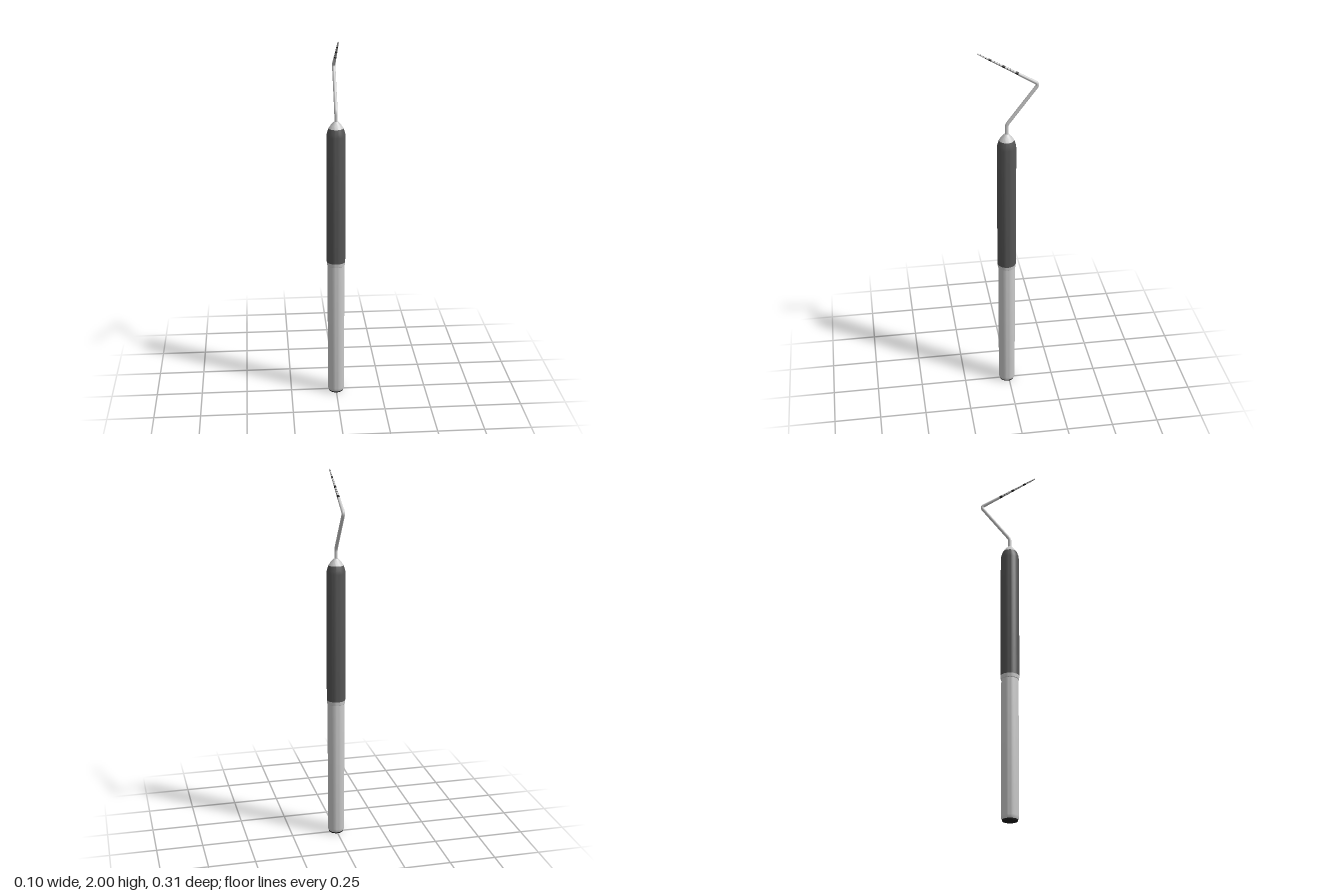
import * as THREE from 'three';
import { toCreasedNormals } from 'three/addons/utils/BufferGeometryUtils.js';

const steel = new THREE.MeshStandardMaterial({ color: 0xcccccc });
const rubber = new THREE.MeshStandardMaterial({ color: 0x555555 });
const black = new THREE.MeshStandardMaterial({ color: 0x1c1c1c });

const AXIS_Z = 0.01; // the handle sits slightly forward of centre
const v = (y, z) => new THREE.Vector3(0, y, z);

function add(parent, name, geometry, material) {
  const mesh = new THREE.Mesh(geometry, material);
  mesh.name = name;
  parent.add(mesh);
  return mesh;
}

// Turned part from [radius, y] points listed bottom to top
function turned(parent, name, profile, material) {
  const points = profile.map(([r, y]) => new THREE.Vector2(r, y));
  const geometry = toCreasedNormals(new THREE.LatheGeometry(points, 40), 0.35);
  return add(parent, name, geometry, material);
}

export function createModel() {
  const model = new THREE.Group();
  model.name = 'periodontalProbe';

  // Handle
  const handle = new THREE.Group();
  handle.name = 'handle';
  handle.position.z = AXIS_Z;
  model.add(handle);
  turned(handle, 'endCap', [[0, 0], [0.039, 0], [0.041, 0.007]], black);
  turned(handle, 'shaft', [[0.041, 0.007], [0.044, 0.014], [0.0455, 0.025], [0.0455, 0.77]], steel);
  turned(handle, 'gripCollar', [[0.0455, 0.758], [0.048, 0.76], [0.05, 0.78]], steel);
  turned(handle, 'grip', [[0.05, 0.78], [0.05, 1.48], [0.0475, 1.497], [0.039, 1.522]], rubber);
  turned(handle, 'nose', [[0.039, 1.522], [0.029, 1.538], [0.015, 1.553], [0.012, 1.557], [0, 1.558]], steel);

  // Bent neck: straight stub, backward slant, then a sharp elbow toward the front
  const base = v(1.54, AXIS_Z), lower = v(1.607, AXIS_Z), elbow = v(1.821, -0.1525), tip = v(1.997, 0.152);
  const toward = (a, b, d) => a.clone().add(b.clone().sub(a).setLength(d));
  const lowIn = toward(lower, base, 0.015), lowOut = toward(lower, elbow, 0.015);
  const elbowIn = toward(elbow, lower, 0.02), elbowOut = toward(elbow, tip, 0.02);
  const path = new THREE.CurvePath();
  path.add(new THREE.LineCurve3(base, lowIn));
  path.add(new THREE.QuadraticBezierCurve3(lowIn, lower, lowOut));
  path.add(new THREE.LineCurve3(lowOut, elbowIn));
  path.add(new THREE.QuadraticBezierCurve3(elbowIn, elbow, elbowOut));
  add(model, 'neck', new THREE.TubeGeometry(path, 120, 0.009, 16), steel);

  // Tapered working end, laid along its own y axis from the elbow to the tip
  const probe = new THREE.Group();
  probe.name = 'workingEnd';
  const direction = tip.clone().sub(elbowOut);
  const length = direction.length();
  probe.position.copy(elbowOut);
  probe.quaternion.setFromUnitVectors(new THREE.Vector3(0, 1, 0), direction.clone().normalize());
  model.add(probe);
  const radiusAt = (s) => 0.009 + (0.0035 - 0.009) * (s / length);
  const section = (name, from, to, material) => {
    const geometry = new THREE.CylinderGeometry(radiusAt(to), radiusAt(from), to - from, 16, 1, true);
    add(probe, name, geometry, material).position.y = (from + to) / 2;
  };

  // Measuring scale: a thin line every step, every fifth step filled black
  const step = 0.0154, line = 0.0022;
  let end = length;
  for (let i = 1; i <= 15; i++) {
    const start = length - i * step;
    if (i % 5 === 0) {
      section('darkBand', start, end, black);
      end = start;
    } else {
      section('plainSection', start + line / 2, end, steel);
      section('markLine', start - line / 2, start + line / 2, black);
      end = start - line / 2;
    }
  }
  section('probeRoot', 0, end, steel);

  // Rounded tip
  const ball = add(probe, 'tip', new THREE.SphereGeometry(0.0035, 16, 8, 0, Math.PI * 2, 0, Math.PI / 2), steel);
  ball.position.y = length;
  return model;
}
